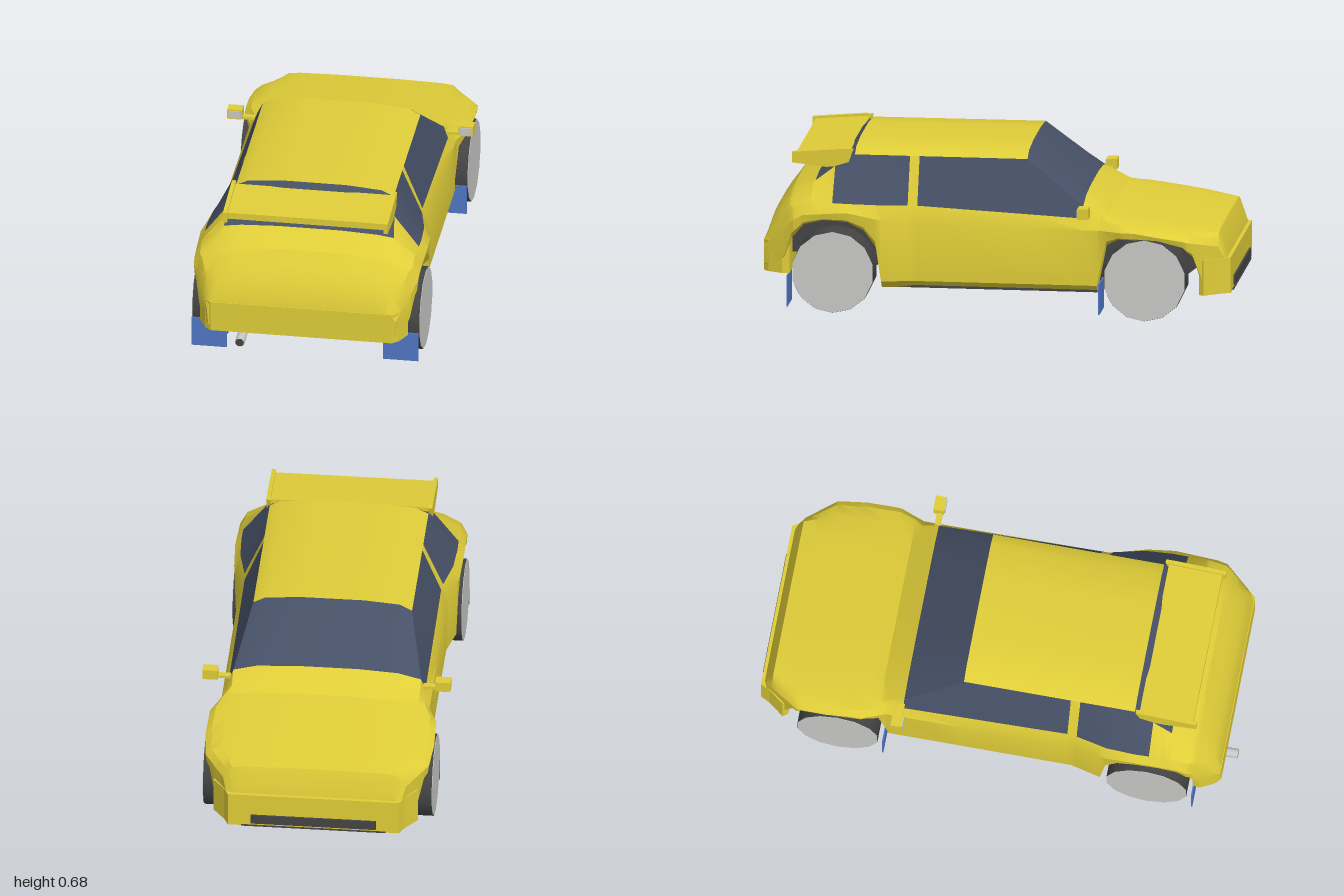
import * as THREE from 'three';
import { toCreasedNormals } from 'three/addons/utils/BufferGeometryUtils.js';

const mat = (name, color, side = THREE.FrontSide) => {
  const m = new THREE.MeshStandardMaterial({ color, side });
  m.name = name;
  return m;
};

// piecewise linear curve through [z, value] keys
function at(keys, z) {
  if (z <= keys[0][0]) return keys[0][1];
  for (let i = 1; i < keys.length; i++) {
    const [z0, v0] = keys[i - 1], [z1, v1] = keys[i];
    if (z <= z1) return v0 + (v1 - v0) * (z - z0) / (z1 - z0);
  }
  return keys[keys.length - 1][1];
}

// lower edge of the sides, rising over the wheels
const lower = [[-.975, .15], [-.91, .13], [-.88, .13], [-.84, .26], [-.8, .3], [-.7, .33], [-.53, .33], [-.48, .3],
  [-.44, .1], [.455, .1], [.48, .27], [.53, .34], [.6, .375], [.7, .38], [.78, .36], [.83, .3], [.86, .2], [.88, .17], [.95, .15]];
const width = [[-.975, .36], [-.94, .38], [-.82, .465], [-.7, .475], [-.55, .47], [-.45, .432], [.33, .432],
  [.48, .468], [.6, .475], [.82, .47], [.95, .395]];
const beltY = [[-.975, .23], [-.94, .3], [-.8, .335], [-.6, .365], [-.3, .365], [.4, .38], [.6, .42], [.8, .405], [.9, .3], [.95, .25]];
const shoulderY = [[-.975, .25], [-.94, .335], [-.8, .355], [-.6, .385], [-.48, .4], [-.38, .41], [.31, .445], [.66, .455], [.75, .46], [.84, .43], [.92, .335], [.95, .28]];
const edgeX = [[-.975, .33], [-.94, .345], [-.8, .39], [-.38, .39], [-.14, .33], [.58, .33], [.66, .345], [.84, .37], [.95, .355]];
const edgeY = [[-.975, .26], [-.94, .352], [-.48, .41], [-.38, .46], [-.14, .638], [.58, .638], [.66, .59], [.74, .53], [.84, .465], [.92, .36], [.95, .285]];
const roofX = [[-.48, .3], [-.14, .28], [.58, .28], [.95, .29]];
const roofY = [[-.975, .265], [-.94, .358], [-.48, .418], [-.38, .485], [-.14, .665], [.58, .663], [.74, .54], [.84, .485], [.92, .375], [.95, .288]];
const crownY = [[-.975, .27], [-.94, .362], [-.48, .424], [-.38, .495], [-.14, .677], [.58, .675], [.74, .547], [.84, .493], [.92, .38], [.95, .29]];

// one full cross-section, from the +x sill over the roof to the -x sill
function section(z) {
  const w = at(width, z), b = at(lower, z), belt = at(beltY, z);
  const half = [
    [w - .035, b],
    [w - .005, b + Math.min(.03, .3 * (belt - b))],
    [w, belt],
    [w * .945, at(shoulderY, z)],
    [at(edgeX, z), at(edgeY, z)],
    [at(roofX, z), at(roofY, z)],
    [.13, at(crownY, z)],
  ].map(([x, y]) => [x, y, z]);
  return [...half, ...half.slice().reverse().map(([x, y]) => [-x, y, z])];
}

const within = (z, a, b) => z > a && z < b;
function isGlass(k, z) {
  if (k === 3) return within(z, -.38, .31) || within(z, .35, .66);
  return k > 3 && (within(z, -.38, -.14) || within(z, .58, .74));
}

function soup(list) {
  const g = new THREE.BufferGeometry();
  g.setAttribute('position', new THREE.Float32BufferAttribute(list.flat(), 3));
  return toCreasedNormals(g, .45);
}

function buildShell() {
  const zs = [...new Set([...[lower, width, shoulderY, edgeY].flat().map(k => k[0]), .35])].sort((a, b) => a - b);
  const rings = zs.map(section);
  const body = [], glass = [];
  for (let i = 0; i < rings.length - 1; i++) {
    for (let j = 0; j < 13; j++) {
      const a = rings[i][j], b = rings[i][j + 1], c = rings[i + 1][j + 1], d = rings[i + 1][j];
      const out = isGlass(Math.min(j, 12 - j), (zs[i] + zs[i + 1]) / 2) ? glass : body;
      out.push(a, b, c, a, c, d);
    }
  }
  // nose and tail closing faces
  const nose = rings[0], tail = rings[rings.length - 1];
  for (let j = 1; j < 13; j++) {
    body.push(nose[0], nose[j + 1], nose[j]);
    body.push(tail[0], tail[j], tail[j + 1]);
  }
  return { body: soup(body), glass: soup(glass) };
}

// side profile in [z, y], extruded across x
function sideExtrude(points, x0, x1) {
  const shape = new THREE.Shape(points.map(p => new THREE.Vector2(...p)));
  return new THREE.ExtrudeGeometry(shape, { depth: x1 - x0, bevelEnabled: false }).rotateY(-Math.PI / 2).translate(x1, 0, 0);
}

// mirrored plan outline in [x, z], extruded upwards
function planExtrude(half, y0, y1) {
  const pts = [...half, ...half.slice().reverse().map(([x, z]) => [-x, z])];
  const shape = new THREE.Shape(pts.map(([x, z]) => new THREE.Vector2(x, -z)));
  return new THREE.ExtrudeGeometry(shape, { depth: y1 - y0, bevelEnabled: false }).rotateX(-Math.PI / 2).translate(0, y0, 0);
}

// box from its min and max corners
function span(x0, x1, y0, y1, z0, z1) {
  return new THREE.BoxGeometry(x1 - x0, y1 - y0, z1 - z0).translate((x0 + x1) / 2, (y0 + y1) / 2, (z0 + z1) / 2);
}

export function createModel() {
  const paint = mat('yellow paint', 0xdfcd38);
  const shellPaint = mat('yellow paint', 0xdfcd38, THREE.DoubleSide);
  const glassMat = mat('dark blue glass', 0x465066);
  const dark = mat('dark grey', 0x444444);
  const silver = mat('light grey', 0xc9c9c7, THREE.DoubleSide);
  const blue = mat('blue', 0x4f76c4);

  const model = new THREE.Group();
  model.name = 'rallyCar';
  const add = (name, geometry, material, parent = model) => {
    const m = new THREE.Mesh(geometry, material);
    m.name = name;
    parent.add(m);
    return m;
  };

  const shell = buildShell();
  add('bodyShell', shell.body, shellPaint);
  add('windows', shell.glass, glassMat);

  // bumpers
  add('noseBumper', planExtrude([[.355, -.99], [.375, -.95], [.425, -.885], [.41, -.865]], .1, .25), paint);
  add('noseGrille', span(-.26, .26, .115, .155, -.998, -.99), dark);
  add('noseLip', span(-.3, .3, .1, .105, -.995, -.989), dark);
  add('tailBumper', planExtrude([[.43, .84], [.435, .87], [.405, .93], [.38, .953]], .15, .282), paint);

  // underside
  add('floor', span(-.405, .405, .098, .34, -.44, .455), dark);
  add('frontUndertray', span(-.335, .335, .2, .33, -.87, -.44), dark);
  add('rearUndertray', span(-.335, .335, .22, .36, .455, .85), dark);

  // rear wing with end plates
  const wing = new THREE.Group();
  wing.name = 'rearWing';
  model.add(wing);
  add('wingBlade', sideExtrude([[.6, .655], [.6, .635], [.825, .61], [.825, .638]], -.33, .33), paint, wing);

  for (const s of [1, -1]) {
    const side = s > 0 ? 'left' : 'right';
    const xr = (a, b) => s > 0 ? [a, b] : [-b, -a];

    add(side + 'WingEndPlate', sideExtrude([[.585, .662], [.61, .59], [.7, .585], [.84, .6], [.84, .645], [.62, .664]], ...xr(.328, .345)), paint, wing);

    // door mirrors
    add(side + 'MirrorHousing', span(...xr(.452, .515), .428, .472, -.415, -.37), paint);
    add(side + 'MirrorArm', span(...xr(.4, .46), .428, .44, -.4, -.375), paint);
    add(side + 'MirrorGlass', span(...xr(.458, .509), .434, .466, -.37, -.366), silver);

    for (const [end, z, flapZ] of [['Front', -.645, -.455], ['Rear', .655, .845]]) {
      // wheels with plain pale discs
      const wheel = new THREE.Group();
      wheel.name = side + end + 'Wheel';
      wheel.position.set(s * .41, .168, z);
      model.add(wheel);
      const tyre = new THREE.CylinderGeometry(.172, .172, .13, 14).rotateY(Math.PI / 14).rotateZ(Math.PI / 2);
      add('tyre', toCreasedNormals(tyre, .6), dark, wheel);
      const disc = new THREE.CylinderGeometry(.171, .171, .002, 14).rotateY(Math.PI / 14).rotateZ(Math.PI / 2);
      add('wheelDisc', disc, silver, wheel).position.x = s * .066;

      add(side + end + 'MudFlap', span(...xr(.327, .475), .018, .147, flapZ - .003, flapZ + .003), blue);
    }
  }

  // exhaust
  const pipe = new THREE.CylinderGeometry(.02, .02, .11, 16, 1, true).rotateX(Math.PI / 2);
  add('exhaustPipe', pipe, silver).position.set(-.25, .127, .945);
  add('exhaustBore', new THREE.CircleGeometry(.0175, 16), dark).position.set(-.25, .127, .999);
  add('exhaustCap', new THREE.CircleGeometry(.02, 16).rotateY(Math.PI), silver).position.set(-.25, .127, .89);

  return model;
}
